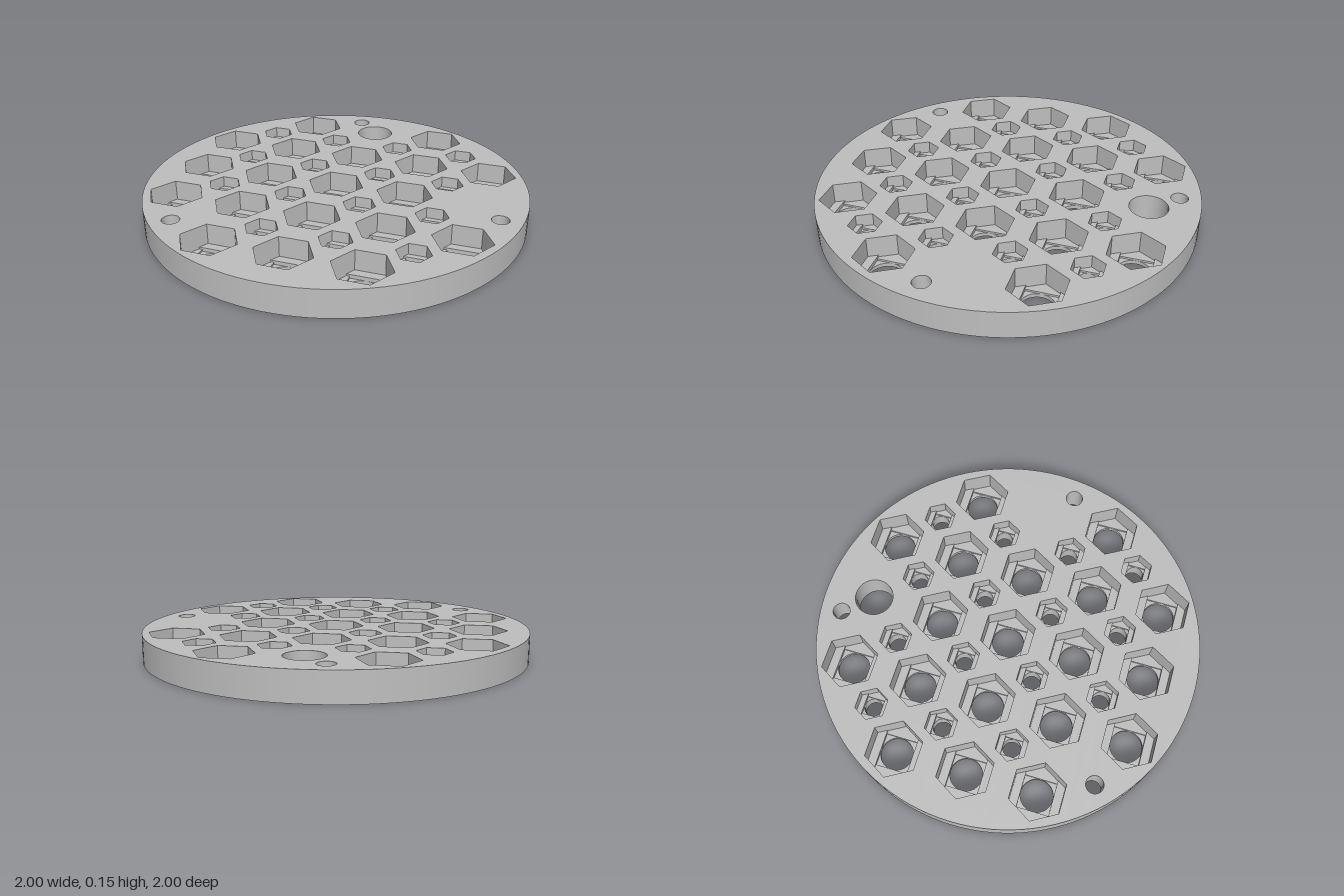
import * as THREE from 'three';
import { toCreasedNormals } from 'three/addons/utils/BufferGeometryUtils.js';

const PITCH = 0.371;
const HEIGHT = 0.147;

// Sunken nut pockets: hexagon radius, bore radius, and height of the pocket floor
const LARGE = { hex: 0.147, bore: 0.083, floor: 0.02 };
const SMALL = { hex: 0.085, bore: 0.046, floor: 0.07 };
const STEP = 0.01;

// Columns used in each row, from back to front, in units of the pitch
const largeRows = [[-1, 1], [-2, -1, 0, 1, 2], [-2, -1, 0, 1], [-2, -1, 0, 1, 2], [-1, 0, 1]];
const smallRows = [
  [-1.5, -0.5, 0.5, 1.5], [-1.5, -0.5, 0.5, 1.5],
  [-1.5, -0.5, 0.5, 1.5], [-0.5, 0.5, 1.5],
];
// Plain through holes: x, z, radius
const plainHoles = [
  [0, -0.742, 0.1], [-0.125, -0.88, 0.045], [0.88, 0.125, 0.045], [-0.63, 0.63, 0.045],
];

function circle(x, z, r, count) {
  const points = [];
  for (let i = 0; i < count; i++) {
    const a = (i / count) * Math.PI * 2;
    points.push(new THREE.Vector2(x + r * Math.cos(a), -z + r * Math.sin(a)));
  }
  return points;
}

function polygon(x, z, corners) {
  return corners.map(([u, v]) => new THREE.Vector2(x + u, -z + v));
}

// Outline of a pocket at a given height: bore, square step, slot step, then hexagon
function pocketOutline(x, z, { hex, bore, floor }, y) {
  if (y < floor) return circle(x, z, bore, 32);
  const b = bore;
  if (y < floor + STEP) return polygon(x, z, [[b, -b], [b, b], [-b, b], [-b, -b]]);
  if (y < floor + 2 * STEP) {
    const e = hex - b / Math.sqrt(3);
    return polygon(x, z, [[hex, 0], [e, b], [-e, b], [-hex, 0], [-e, -b], [e, -b]]);
  }
  return circle(x, z, hex, 6);
}

// One slice of the plate between two heights
function sliceGeometry(y0, y1) {
  const middle = (y0 + y1) / 2;
  const shape = new THREE.Shape(circle(0, 0, 1, 120));
  const cut = (points) => shape.holes.push(new THREE.Path(points));

  largeRows.forEach((row, j) => row.forEach((i) =>
    cut(pocketOutline(i * PITCH, (j - 2) * PITCH, LARGE, middle))));
  smallRows.forEach((row, j) => row.forEach((i) =>
    cut(pocketOutline(i * PITCH, (j - 1.5) * PITCH, SMALL, middle))));
  plainHoles.forEach(([x, z, r]) => cut(circle(x, z, r, 32)));

  const geometry = new THREE.ExtrudeGeometry(shape, { depth: y1 - y0, bevelEnabled: false });
  geometry.rotateX(-Math.PI / 2);
  geometry.translate(0, y0, 0);
  return toCreasedNormals(geometry, 0.5);
}

export function createModel() {
  const model = new THREE.Group();
  model.name = 'perforatedDisc';
  const grey = new THREE.MeshStandardMaterial({ color: 0xbfbfbf });
  grey.name = 'grey';

  // Slices meet wherever a pocket outline changes
  const levels = [0];
  for (const { floor } of [LARGE, SMALL]) levels.push(floor, floor + STEP, floor + 2 * STEP);
  levels.push(HEIGHT);
  for (let i = 0; i < levels.length - 1; i++) {
    const slice = new THREE.Mesh(sliceGeometry(levels[i], levels[i + 1]), grey);
    slice.name = `plateSlice${i + 1}`;
    model.add(slice);
  }
  return model;
}
